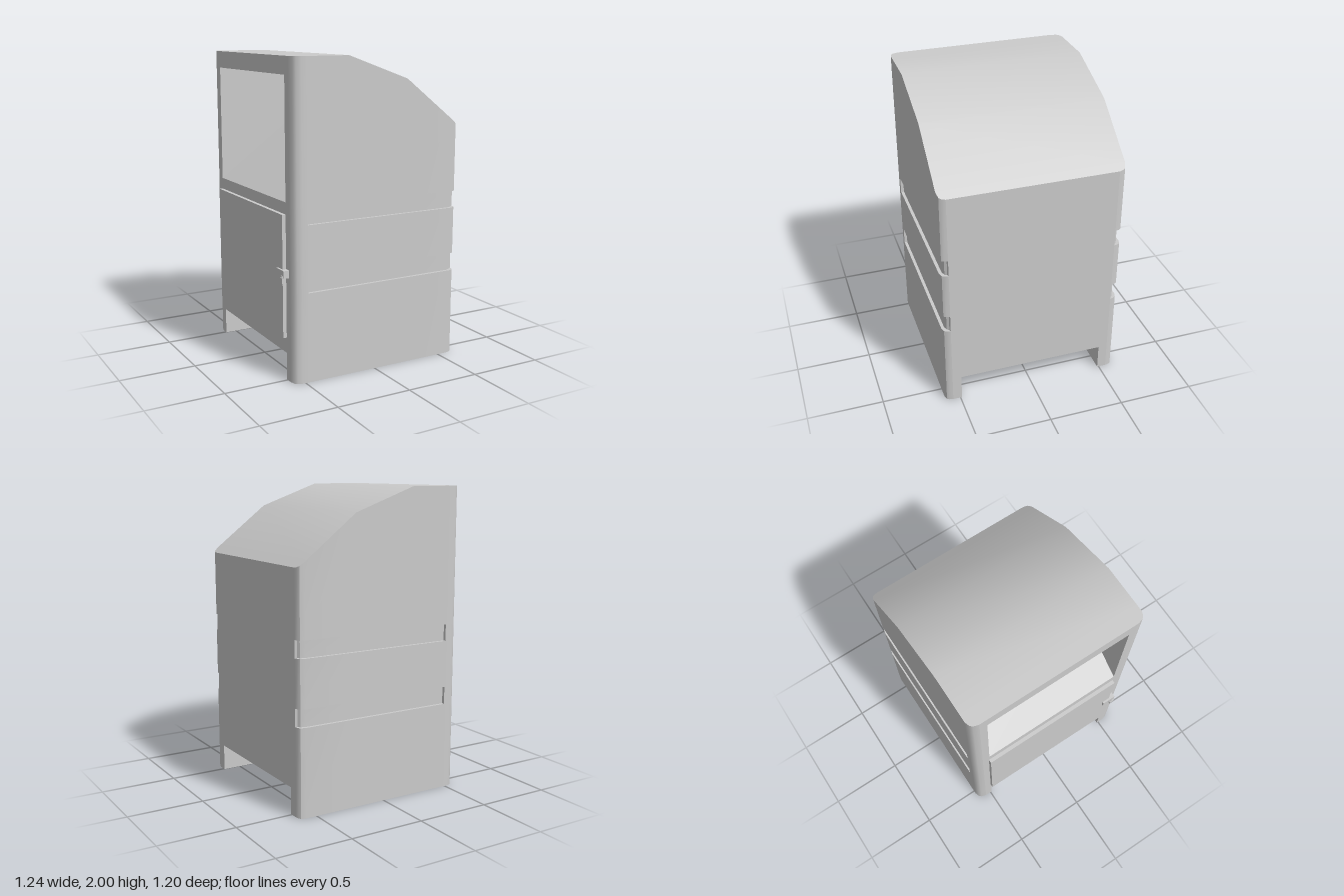
import * as THREE from 'three';
import { toCreasedNormals } from 'three/addons/utils/BufferGeometryUtils.js';

const grey = new THREE.MeshStandardMaterial({ color: 0xcccccc });
const sheet = new THREE.MeshStandardMaterial({ color: 0xcccccc, side: THREE.DoubleSide });

const BACK = -0.575, FRONT = 0.62, LEG = 0.49, CLEAR = 0.175;

// Half plan outline: x, z, and whether the side grooves cut in here
const outline = [
  [BACK, 0.54, 0], [-0.565, 0.575, 0], [-0.55, 0.59, 0], [-0.52, 0.6, 0],
  [-0.48, 0.6, 0], [-0.48, 0.6, 1], [-0.2, 0.6, 1], [0.22, 0.6, 1],
  [0.575, 0.6, 1], [0.605, 0.59, 1], [0.615, 0.575, 1], [FRONT, 0.55, 0],
];
const grooves = [[0.575, 0.69], [1.0, 1.11]];
const roofLine = [[BACK, 2], [-0.2, 2], [0.22, 1.85], [FRONT, 1.54]];

function roofY(x) {
  const i = Math.max(1, roofLine.findIndex(p => x <= p[0]));
  const [x0, y0] = roofLine[i - 1], [x1, y1] = roofLine[i];
  return y0 + (y1 - y0) * (x - x0) / (x1 - x0);
}

// Skin a grid of points given as rows
function loft(rows) {
  const pos = [], index = [], n = rows[0].length;
  rows.forEach(r => r.forEach(p => pos.push(...p)));
  for (let j = 0; j < rows.length - 1; j++)
    for (let i = 0; i < n - 1; i++) {
      const a = j * n + i, b = a + 1, c = a + n, d = c + 1;
      index.push(a, b, d, a, d, c);
    }
  const g = new THREE.BufferGeometry();
  g.setAttribute('position', new THREE.Float32BufferAttribute(pos, 3));
  g.setIndex(index);
  return toCreasedNormals(g.toNonIndexed(), 0.65);
}

function add(parent, name, geometry, material = grey, x = 0, y = 0, z = 0) {
  const m = new THREE.Mesh(geometry, material);
  m.name = name;
  m.position.set(x, y, z);
  parent.add(m);
  return m;
}

function polygon(points) {
  return new THREE.Shape(points.map(p => new THREE.Vector2(...p)));
}

// End panel in z and y, notched between the legs
function endPanel(half, top) {
  return polygon([[-half, 0], [-LEG, 0], [-LEG, CLEAR], [LEG, CLEAR], [LEG, 0],
    [half, 0], [half, top], [-half, top]]);
}

export function createModel() {
  const model = new THREE.Group();
  model.name = 'collectionBin';

  // Side walls with two recessed bands that run out at the front corner
  const levels = [[0, 0]];
  for (const [a, b] of grooves) levels.push([a, 0], [a, 1], [b, 1], [b, 0]);
  levels.push([9, 0]);
  for (const s of [1, -1]) {
    const rows = levels.map(([y, cut]) => {
      const row = outline.map(([x, z, g]) => {
        const k = cut * g;
        return [x - (x > 0.5 ? 0.01 * k : 0), Math.min(y, roofY(x)), s * (z - 0.02 * k)];
      });
      return s > 0 ? row : row.reverse();
    });
    add(model, s > 0 ? 'sideWallFront' : 'sideWallBack', loft(rows), sheet);

    // Underside of each leg
    const outer = outline.map(([x, z]) => [x, 0, s * z]);
    const inner = outline.map(([x]) => [x, 0, s * LEG]);
    add(model, 'legUnderside', loft(s > 0 ? [inner, outer] : [outer, inner]), sheet);
  }

  // Curved roof
  add(model, 'roof', loft([1, -1].map(s => outline.map(([x, z]) => [x, roofY(x), s * z]))), sheet);

  // Channel between the legs
  const channel = [[0, -LEG], [CLEAR, -LEG], [CLEAR, LEG], [0, LEG]];
  add(model, 'baseChannel', loft(channel.map(([y, z]) => [[BACK, y, z], [FRONT, y, z]])), sheet);

  // Plain end panel
  add(model, 'plainPanel', new THREE.ShapeGeometry(endPanel(0.55, roofY(FRONT))).rotateY(Math.PI / 2), sheet, FRONT);

  // End panel with the deposit opening
  const low = 1.13, high = 1.89, deep = -0.085, ramp = 1.49;
  const hatch = endPanel(0.54, 2);
  hatch.holes.push(polygon([[-LEG, low], [-LEG, high], [LEG, high], [LEG, low]]));
  add(model, 'openingPanel', new THREE.ShapeGeometry(hatch).rotateY(-Math.PI / 2), sheet, BACK);

  // Sloping chute behind the opening, with its two cheeks
  const chute = [[BACK, low], [deep, ramp], [deep, high], [BACK, high]];
  add(model, 'chute', loft(chute.map(([x, y]) => [[x, y, -LEG], [x, y, LEG]])), sheet);
  for (const s of [1, -1]) {
    const cheek = [[[BACK, low, s * LEG], [deep, ramp, s * LEG]], [[BACK, high, s * LEG], [deep, high, s * LEG]]];
    if (s > 0) cheek.forEach(r => r.reverse());
    add(model, 'chuteCheek', loft(cheek), sheet);
  }

  // Service door
  add(model, 'door', new THREE.BoxGeometry(0.025, 0.78, 0.985), grey, -0.5865, 0.665, -0.0025);

  // Hasp and padlock
  const lock = new THREE.Group();
  lock.name = 'lock';
  model.add(lock);
  add(lock, 'hasp', new THREE.BoxGeometry(0.015, 0.048, 0.095), grey, -0.6045, 0.691, 0.4825);
  add(lock, 'haspBase', new THREE.BoxGeometry(0.03, 0.048, 0.045), grey, -0.59, 0.691, 0.5075);
  add(lock, 'padlockBody', new THREE.BoxGeometry(0.012, 0.035, 0.034), grey, -0.614, 0.652, 0.508);
  const shackle = new THREE.TorusGeometry(0.012, 0.003, 6, 12, Math.PI).rotateY(Math.PI / 2);
  add(lock, 'shackle', shackle, grey, -0.615, 0.67, 0.508);

  return model;
}
